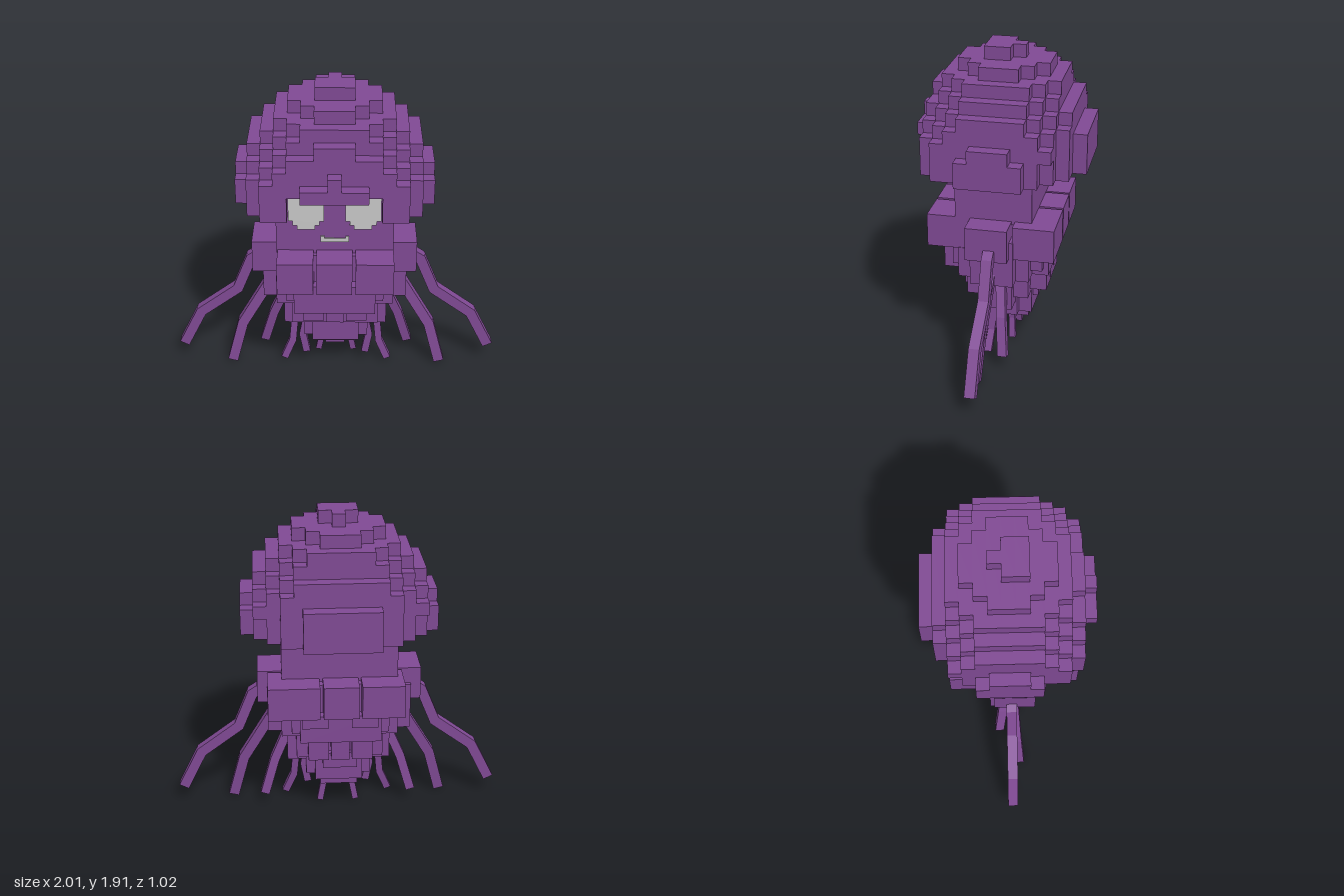
import * as THREE from 'three';
import { mergeGeometries } from 'three/addons/utils/BufferGeometryUtils.js';

const purple = new THREE.MeshStandardMaterial({ color: 0x7f4993 });
purple.name = 'purple skin';
const grey = new THREE.MeshStandardMaterial({ color: 0xc6c6c6 });
grey.name = 'pale grey';

// Box from min/max extents
function box(x0, x1, y0, y1, z0, z1) {
  return new THREE.BoxGeometry(x1 - x0, y1 - y0, z1 - z0)
    .translate((x0 + x1) / 2, (y0 + y1) / 2, (z0 + z1) / 2);
}

function part(name, geometries, material = purple) {
  const mesh = new THREE.Mesh(mergeGeometries(geometries.map((g) => g.toNonIndexed())), material);
  mesh.name = name;
  return mesh;
}

// Stepped dome: half width in cells of each row, from the middle row outwards
function dome() {
  const c = 0.0778, base = 1.225, cx = -0.004;
  const layers = [
    [7, 7, 7, 6, 6, 5],
    [7, 7, 7, 6, 6, 5],
    [7, 7, 6, 6, 6, 5],
    [6, 6, 6, 6, 5, 4],
    [6, 6, 6, 5, 4, 3],
    [5, 5, 5, 4, 3, 1],
    [4, 4, 4, 3, 2],
    [3, 3, 2, 1],
    [1, 1],
  ];
  const out = [];
  const row = (i0, i1, j, k) => out.push(box(cx + (i0 - 0.5) * c, cx + (i1 + 0.5) * c,
    base + j * c, base + (j + 1) * c, (k - 0.5) * c, (k + 0.5) * c));
  layers.forEach((rows, j) => {
    for (let k = 1 - rows.length; k < rows.length; k++) {
      let w = rows[Math.abs(k)];
      if (k === -5) w = [4, 4, 4, 4, 3, -1][j];
      if (k === -4 && j < 2) w = 5;
      if (j === 8 && k === -1) w = 0;
      if (w < 0) continue;
      if (j < 2 && k > -5) { // hollow rim, open in front of the face
        const inner = k === 5 ? 4 : k === -4 ? 5 : 6;
        row(-w, -inner, j, k);
        row(inner, w, j, k);
      } else row(-w, w, j, k);
    }
  });
  row(-2, 2, 2, 6); // brow
  row(0, 0, 3, 6);
  out.push(box(-0.23, 0.22, 1.225, 1.47, -0.512, -0.42)); // back plate
  return out;
}

// Square tentacle: mitred outline of a path, extruded and leaned in z
function tentacle(points, side, width, z0, z1) {
  const p = points.map(([x, y]) => new THREE.Vector2(x * side, y));
  const left = [], right = [];
  p.forEach((q, i) => {
    const a = q.clone().sub(p[Math.max(i - 1, 0)]).normalize();
    const b = p[Math.min(i + 1, p.length - 1)].clone().sub(q).normalize();
    const t = a.clone().add(b).normalize();
    const d = (i === 0 || i === p.length - 1) ? 1 : t.dot(a);
    const n = new THREE.Vector2(-t.y, t.x).multiplyScalar(width / 2 / d);
    left.push(q.clone().add(n));
    right.unshift(q.clone().sub(n));
  });
  const g = new THREE.ExtrudeGeometry(new THREE.Shape([...left, ...right]),
    { depth: width, bevelEnabled: false });
  const pos = g.attributes.position;
  const top = p[0].y, drop = top - p[p.length - 1].y;
  for (let i = 0; i < pos.count; i++) {
    const f = (top - pos.getY(i)) / drop;
    pos.setZ(i, pos.getZ(i) - width / 2 + z0 + (z1 - z0) * f);
  }
  g.computeVertexNormals();
  const mesh = new THREE.Mesh(g, purple);
  mesh.name = side > 0 ? 'leftTentacle' : 'rightTentacle';
  return mesh;
}

export function createModel() {
  const model = new THREE.Group();
  model.name = 'jellyCreature';

  model.add(part('dome', dome()));
  model.add(part('head', [box(-0.352, 0.345, 0.92, 1.4, -0.215, 0.247)]));

  // Stepped round eyes
  const eyeRows = [2, 3, 4, 4, 4, 4, 4, 4, 3, 2];
  for (const [name, cx] of [['rightEye', -0.173], ['leftEye', 0.163]]) {
    model.add(part(name, eyeRows.map((w, i) => box(cx - w * 0.0264, cx + w * 0.0264,
      1.085 + i * 0.0275, 1.085 + (i + 1) * 0.0275, 0.247, 0.256)), grey));
  }
  model.add(part('mouth', [
    box(-0.088, 0.08, 1.0, 1.024, 0.247, 0.256),
    box(-0.088, -0.066, 1.024, 1.038, 0.247, 0.256),
    box(0.058, 0.08, 1.024, 1.038, 0.247, 0.256),
  ], grey));

  // Collar of blocks around the waist
  const collar = [box(-0.3, 0.29, 0.6, 0.92, -0.27, 0.28)];
  for (const [x0, x1, back0, back1] of [
    [-0.345, -0.13, -0.385, -0.13], [-0.113, 0.1, -0.113, 0.1], [0.12, 0.345, 0.12, 0.43],
  ]) {
    collar.push(box(x0, x1, 0.735, 0.94, 0.17, 0.42));
    collar.push(box(back0, back1, 0.735, 0.94, -0.362, -0.115));
  }
  collar.push(box(0.25, 0.492, 0.735, 0.94, -0.095, 0.155));
  collar.push(box(-0.508, -0.26, 0.735, 0.94, -0.095, 0.155));
  model.add(part('collar', collar));

  // Tapering tiers of hanging blocks
  model.add(part('upperTier', [
    box(-0.25, 0.24, 0.55, 0.74, -0.3, 0.345),
    box(-0.36, 0.35, 0.55, 0.74, -0.2, 0.23),
    box(-0.445, -0.2, 0.55, 0.84, -0.12, 0.14),
    box(0.2, 0.433, 0.55, 0.84, -0.12, 0.14),
    box(-0.23, -0.07, 0.66, 0.74, -0.33, -0.2),
    box(0.07, 0.23, 0.66, 0.74, -0.33, -0.2),
  ]));
  model.add(part('middleTier', [
    box(-0.06, 0.05, 0.42, 0.56, -0.28, 0.245),
    box(-0.2, -0.075, 0.42, 0.56, -0.28, 0.23),
    box(0.065, 0.19, 0.42, 0.56, -0.28, 0.23),
    box(-0.27, 0.26, 0.39, 0.56, -0.18, 0.2),
    box(-0.322, -0.15, 0.33, 0.56, -0.09, 0.11),
    box(0.15, 0.315, 0.33, 0.56, -0.09, 0.11),
  ]));
  model.add(part('lowerTier', [
    box(-0.145, 0.145, 0.23, 0.43, -0.18, 0.16),
    box(-0.11, 0.1, 0.33, 0.43, -0.215, 0.16),
    box(-0.2, 0.2, 0.23, 0.4, -0.1, 0.1),
    box(-0.115, 0.115, 0.185, 0.25, -0.155, 0.1),
    box(-0.065, 0.055, 0.14, 0.2, -0.07, 0.06),
  ]));

  // Mirrored tentacles: path, width, z at root and tip
  const paths = [
    [[[0.48, 0.785], [0.525, 0.755], [0.615, 0.535], [0.855, 0.358], [0.976, 0.115]], 0.064, 0.012, 0.012],
    [[[0.38, 0.65], [0.59, 0.295], [0.663, 0.02]], 0.064, 0.02, 0.06],
    [[[0.29, 0.56], [0.395, 0.32], [0.462, 0.09]], 0.056, -0.02, -0.066],
    [[[0.25, 0.42], [0.275, 0.16], [0.33, 0.03]], 0.044, 0.02, 0.055],
    [[[0.175, 0.4], [0.21, 0.22], [0.185, 0.09]], 0.045, 0.06, 0.07],
    [[[0.1, 0.27], [0.088, 0.15], [0.113, 0.02]], 0.038, -0.04, -0.055],
  ];
  const tentacles = new THREE.Group();
  tentacles.name = 'tentacles';
  for (const [path, width, z0, z1] of paths) {
    for (const side of [1, -1]) tentacles.add(tentacle(path, side, width, z0, z1));
  }
  model.add(tentacles);
  return model;
}
